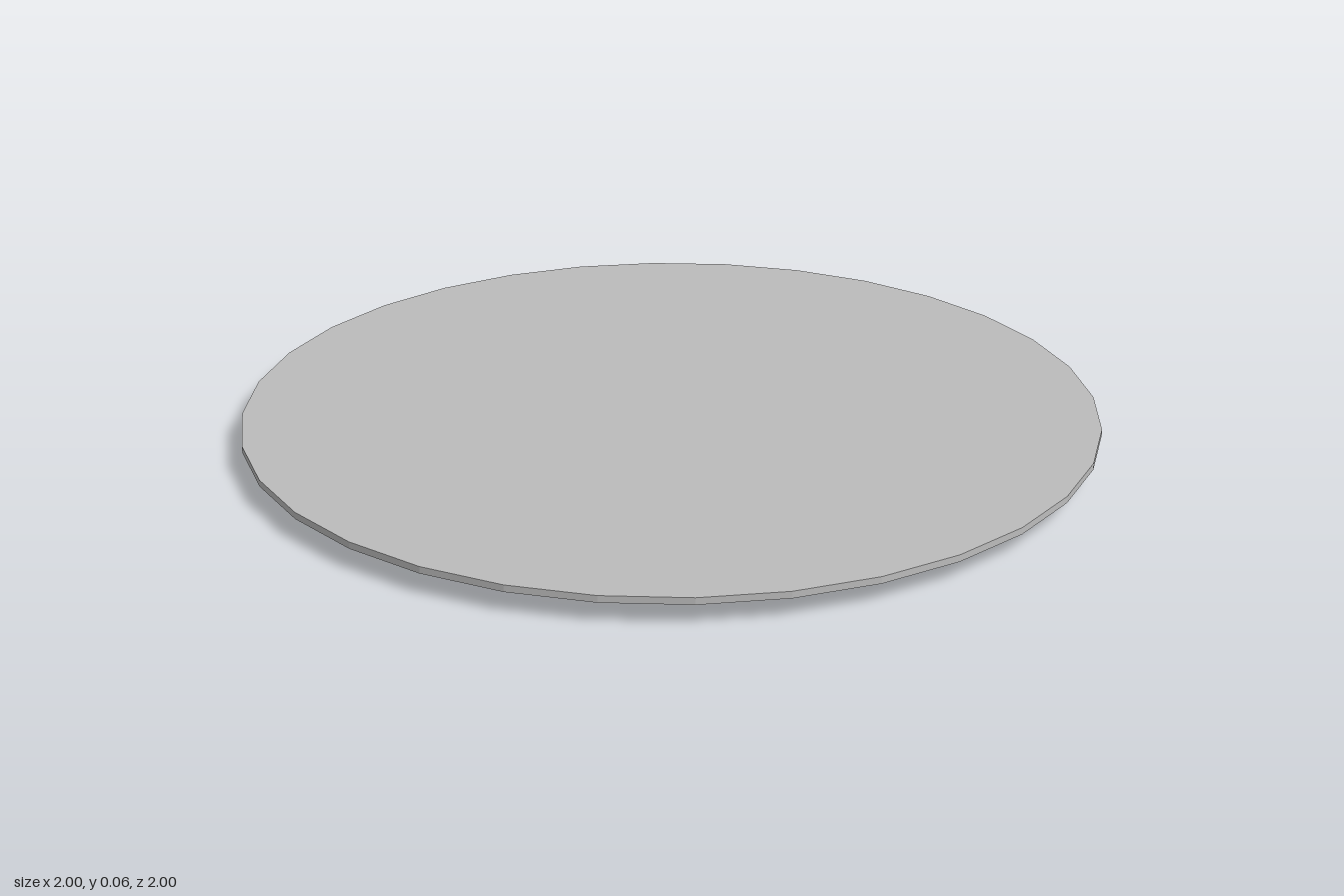
import * as THREE from 'three';

const SIDES = 32;

export function createModel() {
  const model = new THREE.Group();
  model.name = 'plate';
  const grey = new THREE.MeshStandardMaterial({ color: 0xbcbcbc, flatShading: true });
  grey.name = 'light grey';

  // Turns a profile of [radius, height] pairs, ordered from the bottom outwards and up
  const turned = (name, profile) => {
    const points = profile.map(([r, y]) => new THREE.Vector2(r, y));
    const mesh = new THREE.Mesh(new THREE.LatheGeometry(points, SIDES), grey);
    mesh.name = name;
    model.add(mesh);
  };

  // Thin flat disc on top
  turned('topDisc', [[0, 0.048], [1, 0.048], [1, 0.064], [0, 0.064]]);

  // Broad ring below it, leaving a round recess in the middle
  turned('footRing', [[0.5, 0.048], [0.5, 0], [0.828, 0], [0.828, 0.048]]);

  return model;
}
